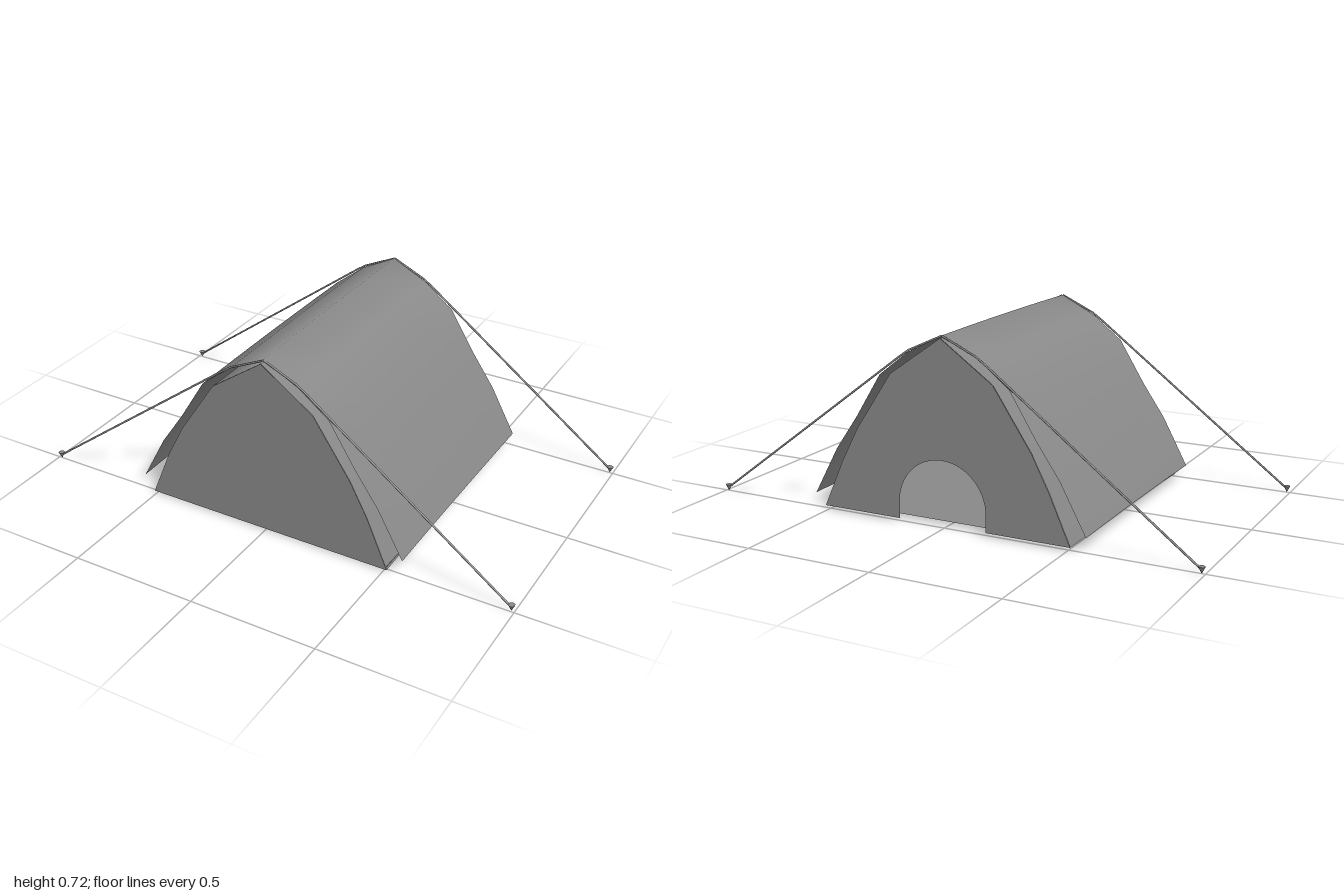
import * as THREE from 'three';

const cloth = new THREE.MeshStandardMaterial({ color: 0x898989, side: THREE.DoubleSide });
const solid = new THREE.MeshStandardMaterial({ color: 0x898989 });

// Half profiles, from the ridge down to the hem
const FLY = [[0, 0.716], [0.145, 0.642], [0.265, 0.548], [0.37, 0.378], [0.463, 0.243], [0.565, 0.054]];
const INNER = [[0, 0.708], [0.21, 0.56], [0.36, 0.335], [0.43, 0.2], [0.512, 0.015]];

// Full profile running from the -x hem over the ridge to the +x hem
const mirrored = (half) => [
  ...half.slice(1).reverse().map(([x, y]) => [-x, y]),
  ...half,
];

function add(group, name, geometry, material = cloth) {
  const mesh = new THREE.Mesh(geometry, material);
  mesh.name = name;
  group.add(mesh);
  return mesh;
}

// Cloth stretched through the same profile at several z stations
function sheet(profile, stations, lift) {
  const positions = [], index = [], n = profile.length;
  stations.forEach((z, j) => {
    profile.forEach(([x, y], i) => {
      positions.push(x, y + lift(i, z), z);
      if (i < n - 1 && j < stations.length - 1) {
        const a = j * n + i, b = a + n;
        index.push(a, b, a + 1, b, b + 1, a + 1);
      }
    });
  });
  const geometry = new THREE.BufferGeometry();
  geometry.setAttribute('position', new THREE.Float32BufferAttribute(positions, 3));
  geometry.setIndex(index);
  geometry.computeVertexNormals();
  return geometry;
}

// Straight cord through a few points
function cord(points, radius) {
  const path = new THREE.CurvePath();
  for (let i = 0; i < points.length - 1; i++) {
    path.add(new THREE.LineCurve3(points[i], points[i + 1]));
  }
  return new THREE.TubeGeometry(path, 24, radius, 6);
}

export function createModel() {
  const tent = new THREE.Group();
  tent.name = 'tent';

  // Outer fly sheet, rising very slightly at mid length
  add(tent, 'flySheet', sheet(mirrored(FLY), [-0.5, -0.3, -0.1, 0.1, 0.3, 0.497],
    (i, z) => 0.004 * (1 - 4 * z * z)));

  // Inner tent walls, the hem dipping toward the front
  const inner = mirrored(INNER);
  const last = inner.length - 1;
  add(tent, 'innerWalls', sheet(inner, [-0.513, -0.25, 0, 0.25, 0.512],
    (i, z) => ((i === 0 || i === last) && z > 0.4 ? -0.01 : 0)));

  // Closed front panel
  const outline = (hem) => inner.map(([x, y], i) =>
    new THREE.Vector2(x, i === 0 || i === last ? hem : y));
  const front = add(tent, 'frontPanel', new THREE.ShapeGeometry(new THREE.Shape(outline(0.005))));
  front.position.z = 0.513;

  // Back panel with an arched doorway cut up from the hem
  const back = new THREE.Shape(outline(0.015));
  back.lineTo(0.18, 0.015);
  back.lineTo(0.18, 0.08);
  back.absarc(0, 0.08, 0.18, 0, Math.PI, false);
  back.lineTo(-0.18, 0.015);
  back.closePath();
  const backPanel = add(tent, 'backPanel', new THREE.ShapeGeometry(back, 16));
  backPanel.position.z = -0.515;

  // Ground sheet, reaching the corners but set back between them at both ends
  const ground = new THREE.Shape([
    [-0.51, -0.51], [-0.45, -0.51], [-0.43, -0.45], [0.43, -0.45], [0.45, -0.51], [0.51, -0.51],
    [0.51, 0.51], [0.47, 0.51], [0.45, 0.47], [-0.45, 0.47], [-0.47, 0.51], [-0.51, 0.51],
  ].map(([x, y]) => new THREE.Vector2(x, y)));
  const floor = add(tent, 'groundSheet', new THREE.ShapeGeometry(ground).rotateX(-Math.PI / 2));
  floor.position.y = 0.016;

  // Guy ropes and pegs at the four corners
  for (const end of [-1, 1]) {
    for (const side of [-1, 1]) {
      const z = end < 0 ? -0.502 : 0.497 - side * 0.003;
      const rope = new THREE.Group();
      rope.name = 'guyRope';
      const points = [[0, 0.715], [0.145, 0.648], [0.985, 0.016]]
        .map(([x, y]) => new THREE.Vector3(side * x, y, z));
      add(rope, 'cord', cord(points, 0.004), solid);
      const peg = add(rope, 'peg', new THREE.ConeGeometry(0.013, 0.026, 8).rotateX(Math.PI), solid);
      peg.position.set(side * 0.987, 0.013, z);
      tent.add(rope);
    }
  }
  return tent;
}
